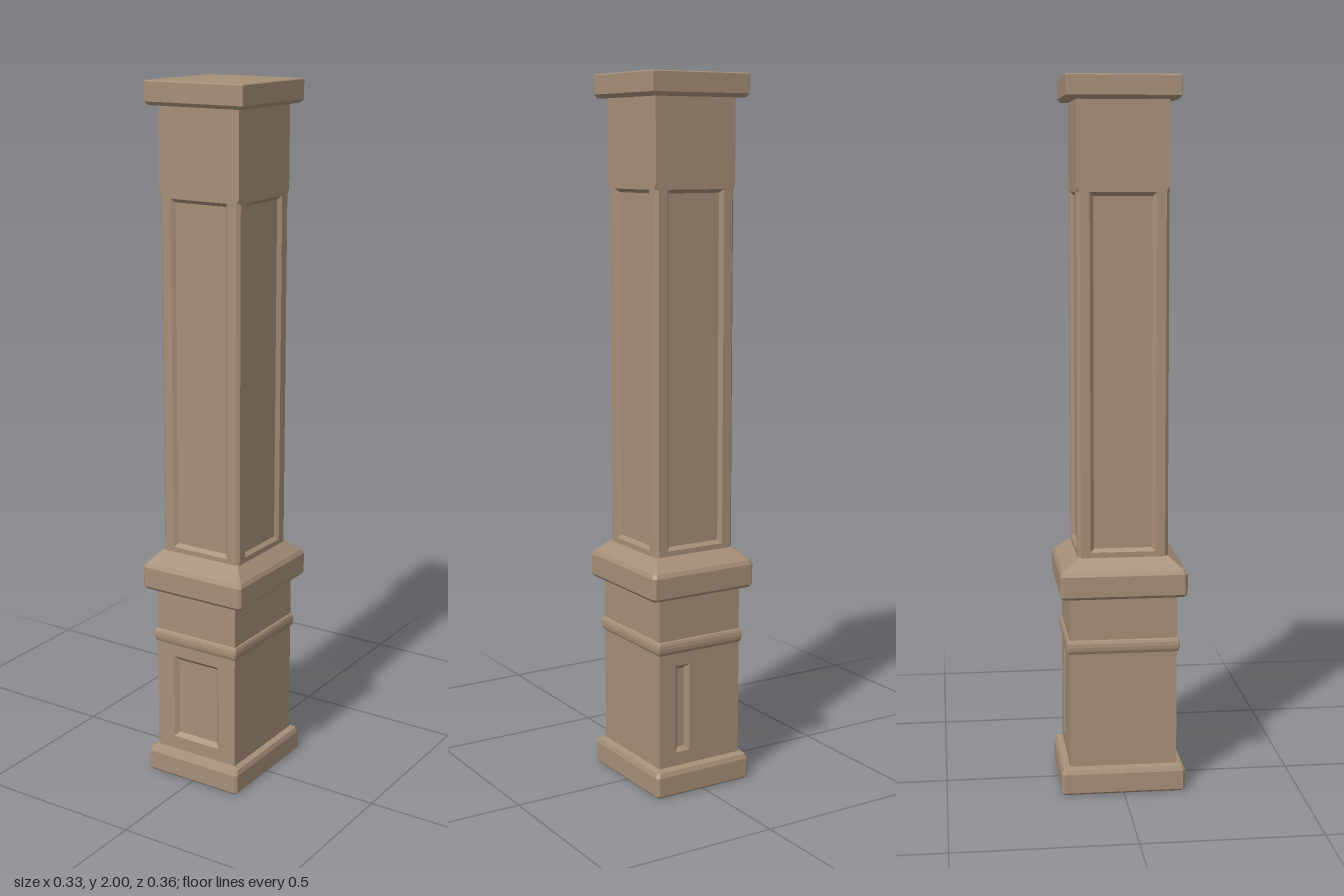
import * as THREE from 'three';

const paint = new THREE.MeshStandardMaterial({ color: 0xa68f78, side: THREE.DoubleSide });
paint.name = 'taupe paint';

// Flat-shaded geometry from a list of quads (four corners each)
function quads(list) {
  const pos = [];
  for (const [a, b, c, d] of list) pos.push(...a, ...b, ...c, ...a, ...c, ...d);
  const g = new THREE.BufferGeometry();
  g.setAttribute('position', new THREE.Float32BufferAttribute(pos, 3));
  g.computeVertexNormals();
  return g;
}

// Rectangular moulding: profile rows are [halfX, halfZ, y, cornerCut], bottom to top
function moulding(profile) {
  const ring = ([x, z, y, c]) => [
    [-x + c, y, z], [x - c, y, z], [x, y, z - c], [x, y, -z + c],
    [x - c, y, -z], [-x + c, y, -z], [-x, y, -z + c], [-x, y, z - c],
  ];
  const list = [];
  for (let i = 0; i + 1 < profile.length; i++) {
    const lo = ring(profile[i]), hi = ring(profile[i + 1]);
    for (let k = 0; k < 8; k++) {
      const n = (k + 1) % 8;
      list.push([lo[k], lo[n], hi[n], hi[k]]);
    }
  }
  return quads(list);
}

// Wall outline in the xy plane with an optional recessed panel [x0, x1, y0, y1]
function wall(name, outline, panel, bevel, depth) {
  const group = new THREE.Group();
  group.name = name;
  const shape = new THREE.Shape(outline.map(p => new THREE.Vector2(...p)));
  if (panel) {
    const [x0, x1, y0, y1] = panel;
    const rect = (b, z) => [
      [x0 + b, y0 + b, z], [x1 - b, y0 + b, z], [x1 - b, y1 - b, z], [x0 + b, y1 - b, z],
    ];
    const outer = rect(0, 0), inner = rect(bevel, -depth);
    shape.holes.push(new THREE.Path(outer.map(p => new THREE.Vector2(p[0], p[1])).reverse()));
    const sides = outer.map((p, i) => [p, outer[(i + 1) % 4], inner[(i + 1) % 4], inner[i]]);
    add(group, 'recessedPanel', quads([...sides, inner]));
  }
  add(group, 'wallFace', new THREE.ShapeGeometry(shape));
  return group;
}

function add(parent, name, geometry) {
  const mesh = new THREE.Mesh(geometry, paint);
  mesh.name = name;
  parent.add(mesh);
  return mesh;
}

export function createModel() {
  const model = new THREE.Group();
  model.name = 'squareColumn';
  const PX = 0.133, PZ = 0.152; // pedestal half sizes
  const S = 0.127;              // shaft half size

  // Base plinth, open underneath
  add(model, 'basePlinth', moulding([
    [PX, PZ, 0, 0], [0.148, 0.17, 0, 0.006], [0.154, 0.176, 0.006, 0.007],
    [0.154, 0.176, 0.06, 0.007], [0.149, 0.17, 0.073, 0.007], [PX, PZ, 0.078, 0],
  ]));

  // Hollow pedestal: panel in front, narrow slot behind, plain sides
  const pedestal = new THREE.Group();
  pedestal.name = 'pedestal';
  model.add(pedestal);
  const box = w => [[-w, 0], [w, 0], [w, 0.58], [-w, 0.58]];
  const pedestalWalls = [
    ['frontWall', PX, PZ, [-0.077, 0.077, 0.117, 0.372]],
    ['leftWall', PZ, PX, null],
    ['backWall', PX, PZ, [-0.08, -0.034, 0.117, 0.372]],
    ['rightWall', PZ, PX, null],
  ];
  pedestalWalls.forEach(([name, w, dist, panel], i) => {
    const side = new THREE.Group();
    side.name = name + 'Side';
    const face = wall(name, box(w), panel, 0.012, 0.012);
    face.position.z = dist;
    side.add(face);
    side.rotation.y = i * Math.PI / 2;
    pedestal.add(side);
  });

  // Rounded bead around the pedestal
  const bead = [];
  for (let i = 0; i <= 6; i++) {
    const a = -Math.PI / 2 + i * Math.PI / 6;
    const out = 0.008 * Math.cos(a);
    bead.push([PX + out, PZ + out, 0.428 + 0.02 * Math.sin(a), 0.003 * Math.cos(a)]);
  }
  add(model, 'beadBand', moulding(bead));

  // Ledge with a sloping top
  add(model, 'pedestalLedge', moulding([
    [PX - 0.01, PZ - 0.01, 0.572, 0], [0.159, 0.171, 0.572, 0.006], [0.166, 0.178, 0.58, 0.008],
    [0.166, 0.178, 0.638, 0.008], [0.16, 0.172, 0.65, 0.008], [S - 0.002, S - 0.002, 0.685, 0],
  ]));

  // Shaft: four panelled faces with stopped corner chamfers
  const shaft = new THREE.Group();
  shaft.name = 'shaft';
  model.add(shaft);
  const cut = 0.009, bottom = 0.66, stop = 1.69, tip = 1.705, top = 1.95;
  const outline = [
    [-S + cut, bottom], [S - cut, bottom], [S - cut, stop], [S, tip],
    [S, top], [-S, top], [-S, tip], [-S + cut, stop],
  ];
  const a = [S - cut, bottom, S], b = [S, bottom, S - cut];
  const c = [S, stop, S - cut], d = [S - cut, stop, S], e = [S, tip, S];
  for (let i = 0; i < 4; i++) {
    const side = new THREE.Group();
    side.name = 'shaftSide';
    const face = wall('shaftWall', outline, [-0.091, 0.091, 0.698, 1.69], 0.01, 0.01);
    face.position.z = S;
    side.add(face);
    add(side, 'cornerChamfer', quads([[a, b, c, d], [d, c, e, e]]));
    side.rotation.y = i * Math.PI / 2;
    shaft.add(side);
  }

  // Cap slab
  add(model, 'cap', moulding([
    [S - 0.01, S - 0.01, 1.935, 0], [0.147, 0.147, 1.935, 0], [0.155, 0.155, 1.945, 0.002],
    [0.155, 0.155, 1.997, 0.002], [0.152, 0.152, 2, 0.002], [0, 0, 2, 0],
  ]));
  return model;
}
